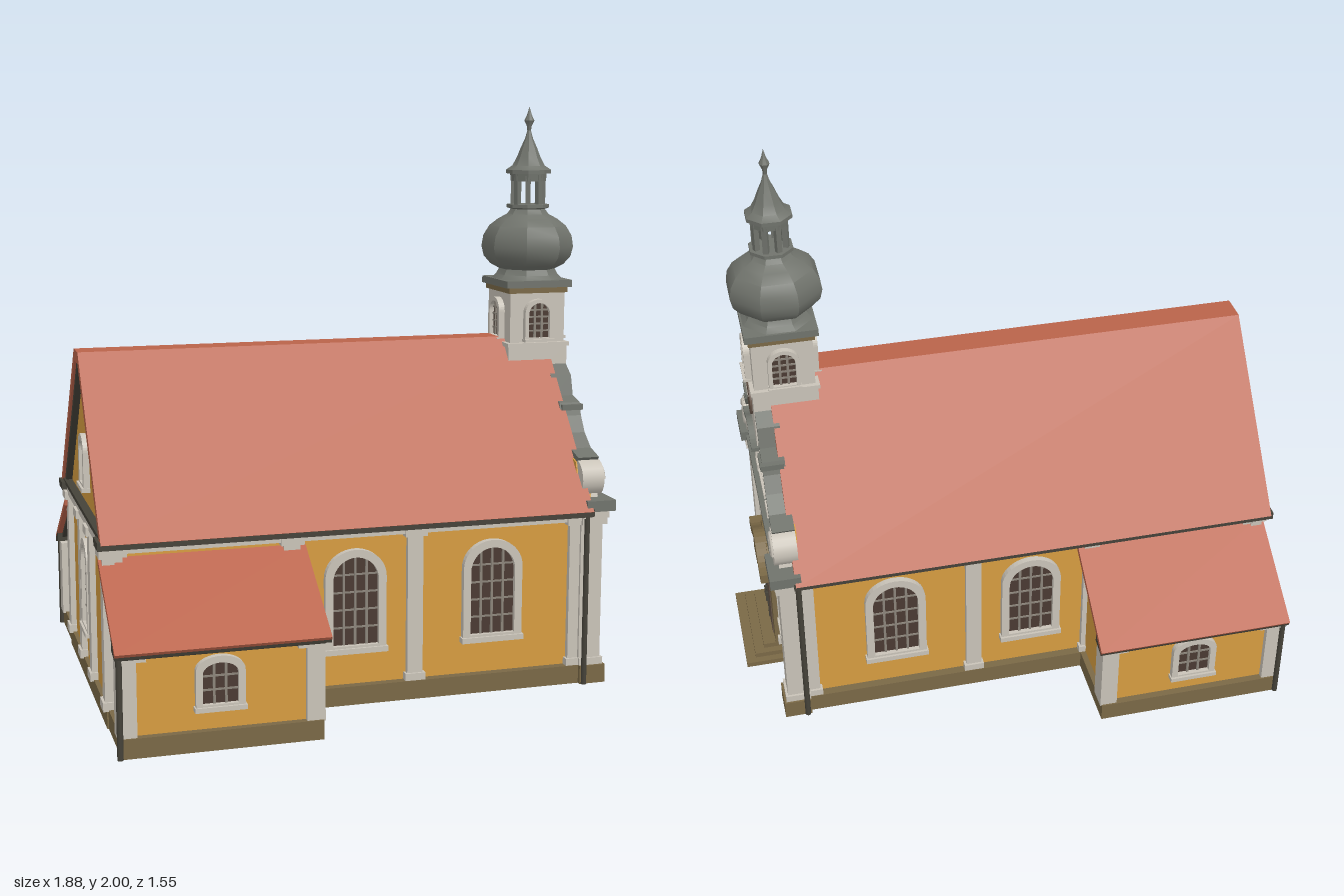
import * as THREE from 'three';
import { toCreasedNormals } from 'three/addons/utils/BufferGeometryUtils.js';

const mat = (name, color) => {
  const m = new THREE.MeshStandardMaterial({ color });
  m.name = name;
  return m;
};
const M = {
  wall: mat('ochre plaster', 0xd69c40),
  roof: mat('red tile', 0xb9634a),
  white: mat('pale stucco', 0xc9c3b8),
  slate: mat('grey slate', 0x70736c),
  base: mat('brown stone', 0x7a6846),
  glass: mat('dark glass', 0x4a3a32),
  door: mat('door wood', 0x665448),
  dark: mat('dark gutter', 0x454239),
  bar: mat('window lead', 0x8b847a),
};

function add(parent, name, geo, material) {
  const mesh = new THREE.Mesh(geo, material);
  mesh.name = name;
  parent.add(mesh);
  return mesh;
}
// box given by its limits
function box(parent, name, m, x0, x1, y0, y1, z0, z1) {
  const mesh = add(parent, name, new THREE.BoxGeometry(Math.abs(x1 - x0), y1 - y0, z1 - z0), m);
  mesh.position.set((x0 + x1) / 2, (y0 + y1) / 2, (z0 + z1) / 2);
  return mesh;
}
const shapeOf = (pts) => new THREE.Shape(pts.map(([x, y]) => new THREE.Vector2(x, y)));
function plate(parent, name, m, shape, z0, z1) {
  const geo = new THREE.ExtrudeGeometry(shape, { depth: z1 - z0, bevelEnabled: false, curveSegments: 10 });
  return add(parent, name, geo.translate(0, 0, z0), m);
}
// profile in z and y, run along x
function prism(parent, name, m, pts, x0, x1) {
  const geo = new THREE.ExtrudeGeometry(shapeOf(pts), { depth: x1 - x0, bevelEnabled: false });
  return add(parent, name, geo.rotateY(-Math.PI / 2).translate(x1, 0, 0), m);
}
function archShape(u, y0, w, h, rise) {
  const s = new THREE.Shape();
  s.moveTo(u - w / 2, y0);
  s.lineTo(u + w / 2, y0);
  s.lineTo(u + w / 2, y0 + h - rise);
  s.absellipse(u, y0 + h - rise, w / 2, rise, 0, Math.PI, false);
  s.closePath();
  return s;
}
// arched window: w and h are the glass size, f the frame width
function arched(parent, name, u, y0, w, h, z, f, cols, rows, rise = w / 2) {
  const g = new THREE.Group();
  g.name = name;
  parent.add(g);
  const frame = archShape(u, y0 - f * 0.7, w + 2 * f, h + 1.7 * f, rise + f * 0.6);
  frame.holes.push(archShape(u, y0, w, h, rise));
  plate(g, 'windowFrame', M.white, frame, z - 0.01, z + 0.022);
  plate(g, 'windowGlass', M.glass, archShape(u, y0, w, h, rise), z, z + 0.006);
  for (let i = 1; i < cols; i++) {
    const d = (i / cols - 0.5) * w;
    const top = y0 + h - rise + rise * Math.sqrt(1 - (2 * d / w) ** 2);
    box(g, 'verticalBar', M.bar, u + d - 0.004, u + d + 0.004, y0, top, z, z + 0.012);
  }
  for (let i = 1; i < rows; i++) {
    const y = y0 + h * i / rows;
    const t = Math.max(0, (y - (y0 + h - rise)) / rise);
    const hw = w / 2 * Math.sqrt(1 - t * t);
    box(g, 'crossBar', M.bar, u - hw, u + hw, y - 0.003, y + 0.003, z, z + 0.01);
  }
  box(g, 'windowSill', M.white, u - w / 2 - f * 1.2, u + w / 2 + f * 1.2, y0 - f, y0 - f * 0.3, z - 0.01, z + 0.03);
}
// pilaster with foot and capital
function pilaster(parent, u, w, y0, y1, z0, z1) {
  box(parent, 'pilaster', M.white, u - w / 2, u + w / 2, y0, y1, z0, z1);
  box(parent, 'pilasterCapital', M.white, u - w / 2 - 0.012, u + w / 2 + 0.012, y1 - 0.03, y1, z0, z1 + 0.012);
  box(parent, 'pilasterFoot', M.white, u - w / 2 - 0.008, u + w / 2 + 0.008, y0, y0 + 0.03, z0, z1 + 0.008);
}
const side = (root, name, angle, x = 0, z = 0) => {
  const g = new THREE.Group();
  g.name = name;
  g.rotation.y = angle;
  g.position.set(x, 0, z);
  root.add(g);
  return g;
};

function buildNave(root) {
  prism(root, 'nave', M.wall, [[-0.44, 0.03], [0.44, 0.03], [0.44, 0.64], [0.04, 1.13], [-0.04, 1.13], [-0.44, 0.64]], -0.9, 0.76);
  box(root, 'navePlinth', M.base, -0.915, 0.8, 0, 0.065, -0.47, 0.47);
  prism(root, 'naveRoof', M.roof, [[0.52, 0.625], [0.05, 1.18], [-0.05, 1.18], [-0.52, 0.625],
    [-0.49, 0.615], [-0.04, 1.14], [0.04, 1.14], [0.49, 0.615]], -0.93, 0.765);
  prism(root, 'gableVerge', M.dark, [[0.5, 0.615], [0.045, 1.155], [-0.045, 1.155], [-0.5, 0.615],
    [-0.46, 0.61], [-0.04, 1.11], [0.04, 1.11], [0.46, 0.61]], -0.922, -0.89);
}

// long side of the nave with its low annex; s mirrors x
function buildLongSide(root, s) {
  const g = side(root, s > 0 ? 'frontSide' : 'backSide', s > 0 ? 0 : Math.PI);
  box(g, 'gutter', M.dark, -0.94 * s, 0.77 * s, 0.605, 0.632, 0.42, 0.512);
  box(g, 'frieze', M.white, -0.91 * s, 0.77 * s, 0.58, 0.606, 0.42, 0.465);
  for (const x of [-0.07, 0.42]) arched(g, 'naveWindow', x * s, 0.205, 0.16, 0.305, 0.44, 0.027, 4, 5);
  for (const x of [-0.88, -0.29, 0.14, 0.73]) pilaster(g, x * s, 0.055, 0.06, 0.6, 0.42, 0.46);
  const annex = new THREE.Group();
  annex.name = 'annex';
  g.add(annex);
  const span = s > 0 ? [-0.89, -0.28] : [0.28, 0.89];
  const over = s > 0 ? [-0.93, -0.24] : [0.24, 0.93];
  prism(annex, 'annexWalls', M.wall, [[0.4, 0.03], [0.725, 0.03], [0.725, 0.355], [0.4, 0.56]], ...span);
  prism(annex, 'annexRoof', M.roof, [[0.775, 0.345], [0.44, 0.565], [0.44, 0.54], [0.765, 0.33]], ...over);
  prism(annex, 'annexGutter', M.dark, [[0.77, 0.34], [0.7, 0.38], [0.7, 0.34], [0.765, 0.325]], ...over);
  prism(annex, 'annexVerge', M.dark, [[0.765, 0.335], [0.44, 0.545], [0.44, 0.525], [0.755, 0.32]], span[0] - 0.022, span[1] + 0.022);
  box(annex, 'annexPlinth', M.base, (span[0] - 0.02), (span[1] + 0.02), 0, 0.065, 0.4, 0.75);
  for (const x of [-0.875, -0.3]) {
    const o = (x < -0.5 ? -0.03 : 0.03) * s;
    box(annex, 'annexPilaster', M.white, Math.min(x * s, x * s + o) - 0.015, Math.max(x * s, x * s + o) + 0.015, 0.06, 0.335, 0.67, 0.745);
    box(annex, 'annexCapital', M.white, x * s - 0.045, x * s + 0.045, 0.31, 0.338, 0.67, 0.755);
  }
  arched(annex, 'annexWindow', -0.595 * s, 0.15, 0.115, 0.135, 0.725, 0.022, 3, 3, 0.035);
  for (const [x, z, h] of [[0.755, 0.485, 0.61], [-0.915, 0.75, 0.34]]) {
    add(g, 'downpipe', new THREE.CylinderGeometry(0.01, 0.01, h, 8), M.dark).position.set(x * s, h / 2, z);
  }
}

function buildRearGable(root) {
  const g = side(root, 'rearGable', -Math.PI / 2);
  for (const u of [-0.44, -0.13, 0.13, 0.44]) pilaster(g, u, 0.055, 0.06, 0.6, 0.88, 0.92);
  box(g, 'rearCornice', M.white, -0.46, 0.46, 0.59, 0.625, 0.88, 0.922);
  box(g, 'rearCorniceCap', M.dark, -0.48, 0.48, 0.625, 0.64, 0.88, 0.928);
  arched(g, 'rearWindow', 0, 0.21, 0.115, 0.29, 0.9, 0.022, 3, 5);
  arched(g, 'rearGableWindow', 0, 0.72, 0.085, 0.15, 0.9, 0.022, 3, 3);
}

function buildFacade(root) {
  const g = side(root, 'facade', Math.PI / 2);
  const edge = [[0.45, 0.65], [0.41, 0.78], [0.34, 0.8], [0.285, 0.845], [0.25, 0.9], [0.235, 0.945], [0.175, 0.96], [0.155, 1.03], [0.1, 1.07]];
  const inner = [[0.36, 0.65], [0.35, 0.72], [0.3, 0.755], [0.24, 0.805], [0.205, 0.86], [0.19, 0.905], [0.15, 0.92], [0.125, 0.99], [0.08, 1.03]];
  const cap = edge.slice(1).map(([u, y]) => [u + 0.012, y + 0.016]);
  plate(g, 'facadeWall', M.wall, shapeOf([[-0.45, 0.03], [0.45, 0.03], ...edge, ...[...edge].reverse().map(([u, y]) => [-u, y])]), 0.74, 0.785);
  for (const s of [-1, 1]) {
    const flip = (pts) => pts.map(([u, y]) => [u * s, y]);
    plate(g, 'gableScroll', M.white, shapeOf(flip([...edge, ...[...inner].reverse()])), 0.75, 0.81);
    plate(g, 'gableCoping', M.slate, shapeOf(flip([...cap, ...edge.slice(1).reverse()])), 0.745, 0.822);
    const volute = add(g, 'volute', new THREE.CylinderGeometry(0.066, 0.066, 0.08, 20).rotateX(Math.PI / 2), M.white);
    volute.position.set(0.4 * s, 0.722, 0.785);
    const spiral = Array.from({ length: 16 }, (_, i) => new THREE.Vector3(
      s * (0.4 + (0.055 - i * 0.003) * Math.cos(i * 0.65)), 0.722 + (0.055 - i * 0.003) * Math.sin(i * 0.65), 0.826));
    add(g, 'voluteSpiral', new THREE.TubeGeometry(new THREE.CatmullRomCurve3(spiral), 48, 0.008, 6), M.white);
    box(g, 'gableLedge', M.slate, 0.18 * s, 0.262 * s, 0.935, 0.955, 0.75, 0.83);
    pilaster(g, 0.43 * s, 0.08, 0.06, 0.6, 0.74, 0.82);
    pilaster(g, 0.135 * s, 0.055, 0.06, 0.6, 0.77, 0.808);
    pilaster(g, 0.138 * s, 0.05, 0.66, 0.93, 0.77, 0.808);
    box(g, 'pilasterPlinth', M.base, 0.375 * s, 0.485 * s, 0, 0.065, 0.74, 0.835);
    box(g, 'cornerCornice', M.white, 0.37 * s, 0.49 * s, 0.595, 0.625, 0.74, 0.835);
    box(g, 'cornerCorniceCap', M.slate, 0.36 * s, 0.51 * s, 0.622, 0.66, 0.745, 0.85);
    arched(g, 'facadeWindow', 0.275 * s, 0.22, 0.11, 0.265, 0.785, 0.023, 3, 5);
    box(g, 'doorJamb', M.base, 0.093 * s, 0.15 * s, 0.05, 0.39, 0.77, 0.825);
  }
  box(g, 'facadeCornice', M.white, -0.47, 0.47, 0.59, 0.625, 0.74, 0.815);
  box(g, 'facadeCorniceCap', M.slate, -0.48, 0.48, 0.62, 0.645, 0.745, 0.83);
  arched(g, 'gableWindow', 0, 0.7, 0.095, 0.155, 0.785, 0.025, 3, 4);

  // doorway and curved hood
  const surround = shapeOf([[-0.15, 0.36], [0.15, 0.36], [0.15, 0.4], [0.07, 0.45], [-0.07, 0.45], [-0.15, 0.4]]);
  plate(g, 'doorHead', M.base, surround, 0.77, 0.822);
  plate(g, 'door', M.door, archShape(0, 0.05, 0.19, 0.31, 0.04), 0.78, 0.828);
  box(g, 'doorSeam', M.dark, -0.003, 0.003, 0.05, 0.35, 0.82, 0.831);
  for (const u of [-0.02, 0.02]) box(g, 'doorHandle', M.dark, u - 0.004, u + 0.004, 0.15, 0.19, 0.82, 0.838);
  const hood = (name, m, w, y, rise, t, z1) => {
    const n = 16, top = [], low = [];
    for (let i = 0; i <= n; i++) {
      const u = (i / n * 2 - 1) * w;
      const v = y + rise * (0.5 + 0.5 * Math.cos(Math.PI * Math.min(1, Math.abs(u / w) * 1.2)));
      top.push([u, v]);
      low.unshift([u, v - t]);
    }
    plate(g, name, m, shapeOf([...low, ...top]), 0.77, z1);
  };
  hood('doorHood', M.base, 0.175, 0.405, 0.06, 0.035, 0.86);
  hood('gableHood', M.white, 0.125, 0.925, 0.035, 0.03, 0.832);
  hood('gableHoodCap', M.slate, 0.13, 0.94, 0.035, 0.015, 0.845);
  [[0.2, 0.94], [0.175, 0.905], [0.15, 0.87]].forEach(([w, z], i) => box(g, 'step', M.base, -w, w, i * 0.018, (i + 1) * 0.018, 0.76, z));
}

function buildTower(root) {
  const g = side(root, 'tower', 0, 0.712);
  box(g, 'towerBase', M.white, -0.112, 0.112, 0.93, 1.155, -0.118, 0.118);
  box(g, 'towerShaft', M.white, -0.104, 0.104, 1.15, 1.36, -0.108, 0.108);
  box(g, 'towerBand', M.white, -0.118, 0.118, 1.148, 1.162, -0.124, 0.124);
  box(g, 'towerCornice', M.base, -0.112, 0.112, 1.34, 1.362, -0.116, 0.116);
  box(g, 'towerCorniceCap', M.slate, -0.124, 0.124, 1.36, 1.385, -0.126, 0.126);
  for (let i = 0; i < 4; i++) {
    arched(side(g, 'towerFace', i * Math.PI / 2), 'belfryWindow', 0, 1.18, 0.08, 0.125, i % 2 ? 0.104 : 0.108, 0.014, 3, 5);
  }
  // clock on the facade side
  const face = side(g, 'clock', Math.PI / 2);
  add(face, 'clockFace', new THREE.CylinderGeometry(0.063, 0.063, 0.008, 24).rotateX(Math.PI / 2), M.door).position.set(0, 1.07, 0.115);
  for (const [a, l] of [[1, 0.05], [-0.95, 0.036]]) {
    add(face, 'clockHand', new THREE.BoxGeometry(0.005, l, 0.004).translate(0, l / 2, 0).rotateZ(a), M.bar).position.set(0, 1.07, 0.12);
  }
  // octagonal onion dome, lantern and spire
  const turned = (name, pts, m = M.slate) => {
    const lathe = new THREE.LatheGeometry(pts.map(([r, y]) => new THREE.Vector2(r * 1.06, y)), 8, Math.PI / 8);
    return add(g, name, toCreasedNormals(lathe.toNonIndexed(), 0.6), m);
  };
  turned('onionDome', [[0.126, 1.38], [0.105, 1.4], [0.095, 1.42], [0.125, 1.437], [0.148, 1.465], [0.156, 1.5],
    [0.15, 1.54], [0.13, 1.575], [0.1, 1.6], [0.07, 1.617], [0.058, 1.635], [0.072, 1.64], [0.072, 1.652], [0, 1.655]]);
  for (let i = 0; i < 8; i++) {
    const a = (i + 0.5) * Math.PI / 4;
    const post = box(g, 'lanternPost', M.slate, -0.009, 0.009, 1.65, 1.765, -0.009, 0.009);
    post.position.x = 0.053 * Math.cos(a);
    post.position.z = 0.053 * Math.sin(a);
    post.rotation.y = -a;
  }
  turned('lanternHead', [[0.05, 1.735], [0.06, 1.735], [0.062, 1.765], [0.04, 1.765]]);
  turned('spire', [[0, 1.762], [0.076, 1.762], [0.076, 1.775], [0.055, 1.79], [0.04, 1.82], [0.027, 1.855], [0.014, 1.885], [0.006, 1.915], [0, 1.93]]);
  turned('finial', [[0, 1.9], [0.006, 1.91], [0.008, 1.93], [0.017, 1.95], [0.008, 1.97], [0, 2]]);
}

export function createModel() {
  const root = new THREE.Group();
  root.name = 'church';
  buildNave(root);
  buildLongSide(root, 1);
  buildLongSide(root, -1);
  buildRearGable(root);
  buildFacade(root);
  buildTower(root);
  return root;
}
